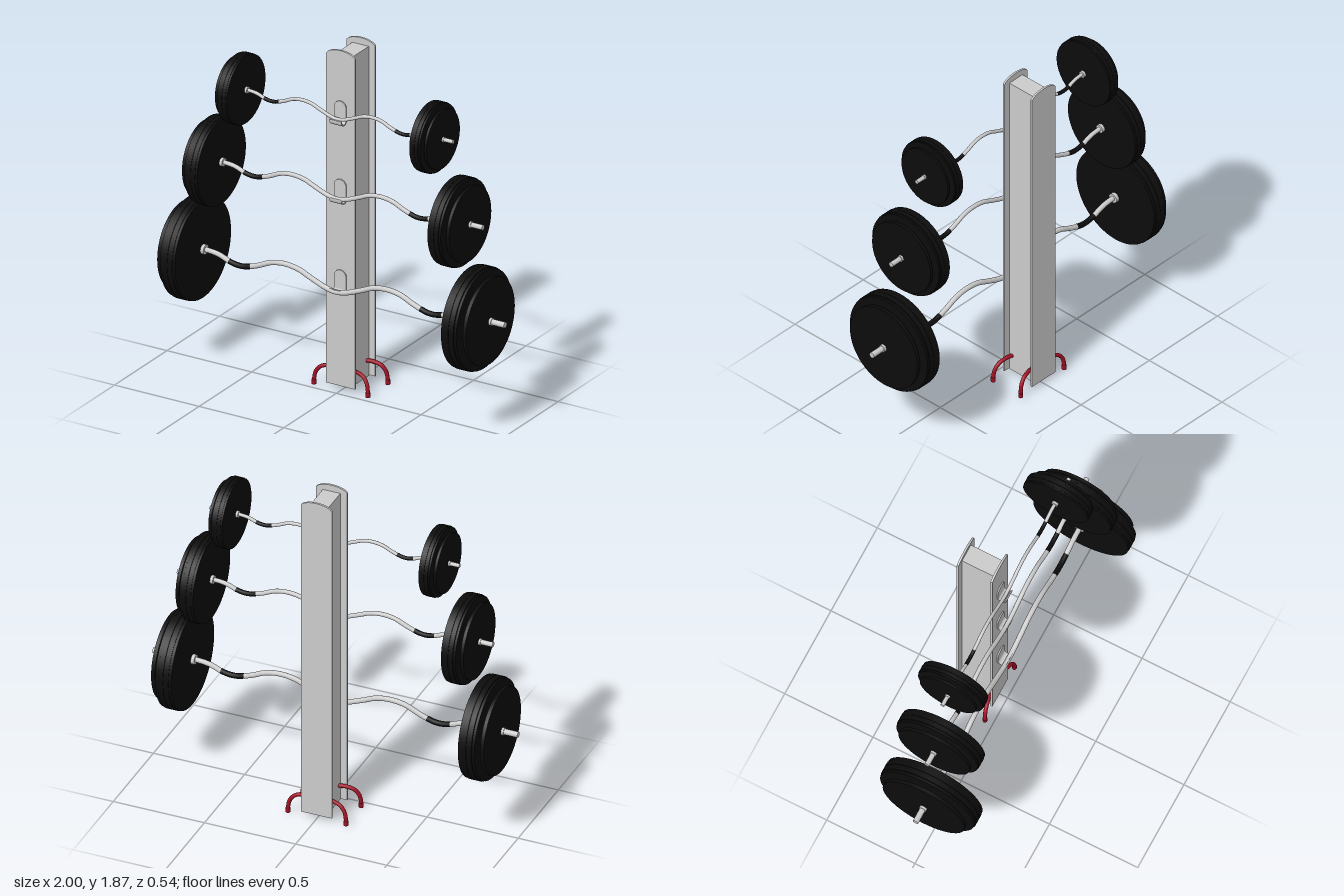
import * as THREE from 'three';

const grey = new THREE.MeshStandardMaterial({ color: 0xcccccc });
const black = new THREE.MeshStandardMaterial({ color: 0x0c0c0c });
const red = new THREE.MeshStandardMaterial({ color: 0xa01024 });

function add(parent, name, geometry, material, x = 0, y = 0, z = 0) {
  const mesh = new THREE.Mesh(geometry, material);
  mesh.name = name;
  mesh.position.set(x, y, z);
  parent.add(mesh);
  return mesh;
}

// Cylinder lying along x between x0 and x1
function rod(parent, name, material, x0, x1, r, segments = 24) {
  const g = new THREE.CylinderGeometry(r, r, Math.abs(x1 - x0), segments);
  g.rotateZ(Math.PI / 2);
  return add(parent, name, g, material, (x0 + x1) / 2);
}

function curve(points) {
  return new THREE.CatmullRomCurve3(points.map((p) => new THREE.Vector3(...p)));
}

// I-beam column: web plus two flanges with arched tops
function makeColumn() {
  const column = new THREE.Group();
  column.name = 'column';
  add(column, 'web', new THREE.BoxGeometry(0.096, 1.81, 0.18), grey, 0, 0.925, -0.142);
  const s = new THREE.Shape();
  s.moveTo(-0.085, 0.025);
  s.lineTo(0.085, 0.025);
  s.lineTo(0.085, 1.838);
  s.bezierCurveTo(0.06, 1.876, -0.06, 1.876, -0.085, 1.838);
  s.closePath();
  const flange = new THREE.ExtrudeGeometry(s, { depth: 0.011, bevelEnabled: false, curveSegments: 16 });
  add(column, 'frontFlange', flange, grey, 0, 0, -0.052);
  add(column, 'backFlange', flange, grey, 0, 0, -0.243);
  return column;
}

// Curved foot reaching out from the web to the floor
function makeFoot(side, zTop, zFloor) {
  const foot = new THREE.Group();
  foot.name = 'foot';
  const mid = (t) => zTop + (zFloor - zTop) * t;
  const path = curve([
    [side * 0.04, 0.112, zTop], [side * 0.085, 0.112, mid(0.3)], [side * 0.125, 0.1, mid(0.6)],
    [side * 0.15, 0.07, mid(0.85)], [side * 0.158, 0.035, mid(0.97)], [side * 0.159, 0.005, zFloor],
  ]);
  add(foot, 'footTube', new THREE.TubeGeometry(path, 24, 0.0105, 12), red);
  add(foot, 'footTip', new THREE.CylinderGeometry(0.0125, 0.0125, 0.025, 16), red, side * 0.159, 0.0125, zFloor);
  return foot;
}

// Wall tab with a J-shaped hook that carries a bar
function makeBracket(y) {
  const bracket = new THREE.Group();
  bracket.name = 'bracket';
  bracket.position.y = y;
  const tab = new THREE.Shape();
  tab.moveTo(-0.036, 0.015);
  tab.lineTo(0.036, 0.015);
  tab.lineTo(0.036, 0.086);
  tab.absarc(0, 0.086, 0.036, 0, Math.PI);
  tab.closePath();
  add(bracket, 'tab', new THREE.ExtrudeGeometry(tab, { depth: 0.008, bevelEnabled: false, curveSegments: 16 }),
    grey, 0, 0, -0.042);
  // U section drawn in the z-y plane, then turned to run along x
  const u = new THREE.Shape();
  u.moveTo(-0.042, 0.04);
  u.lineTo(-0.042, 0.026);
  u.absarc(-0.016, 0.026, 0.026, Math.PI, Math.PI * 2);
  u.lineTo(0.01, 0.032);
  u.lineTo(0.003, 0.032);
  u.lineTo(0.003, 0.026);
  u.absarc(-0.016, 0.026, 0.019, 0, -Math.PI, true);
  u.lineTo(-0.035, 0.04);
  u.closePath();
  const hook = new THREE.ExtrudeGeometry(u, { depth: 0.072, bevelEnabled: false, curveSegments: 12 });
  hook.translate(0, 0, -0.036);
  hook.rotateY(-Math.PI / 2);
  add(bracket, 'hook', hook, grey);
  return bracket;
}

// Cambered curl bar with a plate stack on each end
function makeBarbell(scale, y, z) {
  const bell = new THREE.Group();
  bell.name = 'barbell';
  bell.position.set(0, y, z);
  bell.scale.setScalar(scale);
  const half = [
    [0.06, -0.042], [0.15, -0.008], [0.22, 0.021], [0.3, 0.032], [0.38, 0.021], [0.46, -0.014],
    [0.52, -0.034], [0.57, -0.041], [0.62, -0.034], [0.69, -0.008], [0.75, 0], [0.8, 0],
  ];
  const bend = [...half.map(([x, h]) => [-x, h, 0]).reverse(), [0, -0.052, 0], ...half.map(([x, h]) => [x, h, 0])];
  add(bell, 'bar', new THREE.TubeGeometry(curve(bend), 120, 0.0135, 14), grey);

  for (const s of [-1, 1]) {
    const gripPath = curve([[0.5, -0.028], [0.535, -0.038], [0.57, -0.041], [0.6, -0.038], [0.63, -0.031]]
      .map(([x, h]) => [s * x, h, 0]));
    add(bell, 'grip', new THREE.TubeGeometry(gripPath, 16, 0.0145, 14), black);
    rod(bell, 'sleeve', grey, s * 0.77, s, 0.0155);
    rod(bell, 'innerCollar', grey, s * 0.768, s * 0.786, 0.026);
    rod(bell, 'outerCollar', grey, s * 0.91, s * 0.925, 0.02);
    rod(bell, 'plateHub', black, s * 0.786, s * 0.9, 0.06);
    // Plate stack: [inner x, outer x, radius]
    const plates = [[0.786, 0.801, 0.268], [0.801, 0.829, 0.271], [0.831, 0.859, 0.271],
      [0.861, 0.875, 0.266], [0.892, 0.912, 0.232]];
    for (const [a, b, r] of plates) rod(bell, 'plate', black, s * a, s * b, r, 64);
  }
  return bell;
}

export function createModel() {
  const model = new THREE.Group();
  model.name = 'barbellRack';
  model.add(makeColumn());
  for (const side of [-1, 1]) {
    model.add(makeFoot(side, -0.07, -0.044));
    model.add(makeFoot(side, -0.212, -0.234));
  }
  // [scale, bar height, depth, bracket height]
  const tiers = [[1, 0.61, 0.003, 0.542], [0.865, 1.112, -0.003, 1.04], [0.685, 1.538, -0.01, 1.47]];
  for (const [scale, y, z, bracketY] of tiers) {
    model.add(makeBarbell(scale, y, z));
    model.add(makeBracket(bracketY));
  }
  return model;
}
